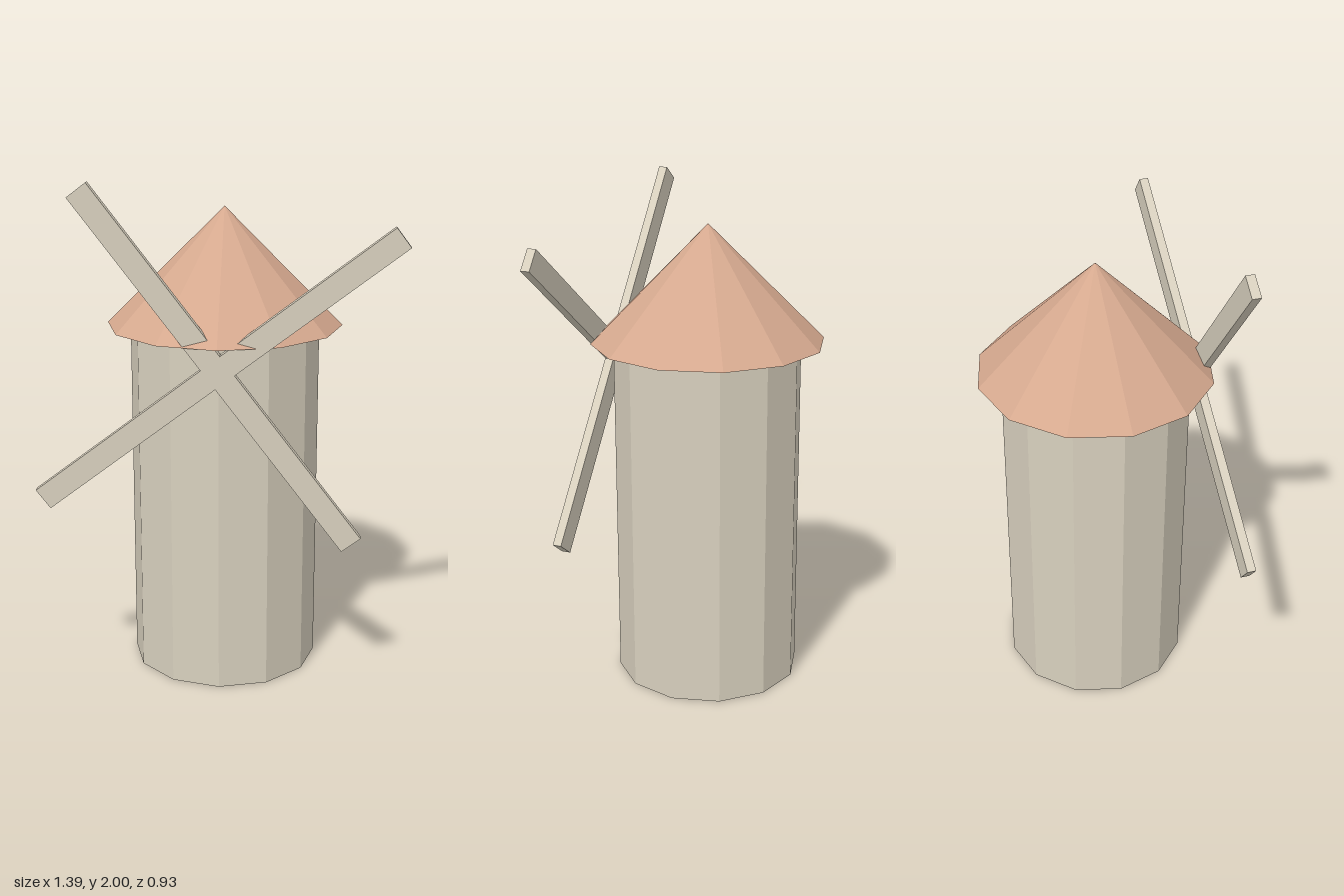
import * as THREE from 'three';

export function createModel() {
  const model = new THREE.Group();
  model.name = 'windmill';

  const material = (name, color) => {
    const m = new THREE.MeshStandardMaterial({ color, flatShading: true });
    m.name = name;
    return m;
  };
  const stone = material('pale stone', 0xd8d0be);
  const clay = material('clay roof', 0xd6a98f);

  const add = (name, geometry, mat, parent = model) => {
    const mesh = new THREE.Mesh(geometry, mat);
    mesh.name = name;
    parent.add(mesh);
    return mesh;
  };

  // Twelve-sided tower and overhanging conical roof
  const towerHeight = 1.4;
  const roofHeight = 0.465;
  add('tower', new THREE.CylinderGeometry(0.374, 0.374, towerHeight, 12), stone)
    .position.y = towerHeight / 2;
  add('roof', new THREE.ConeGeometry(0.465, roofHeight, 12), clay)
    .position.y = towerHeight + roofHeight / 2;

  // Two crossed bars make the four sails; the roof's front eave pokes through them
  const sails = new THREE.Group();
  sails.name = 'sails';
  sails.position.set(0, 1.306, 0.408);
  sails.rotation.z = 0.65;
  model.add(sails);
  for (let i = 0; i < 2; i++) {
    add('sailBar', new THREE.BoxGeometry(1.676, 0.09, 0.036), stone, sails)
      .rotation.z = i * Math.PI / 2;
  }

  return model;
}
